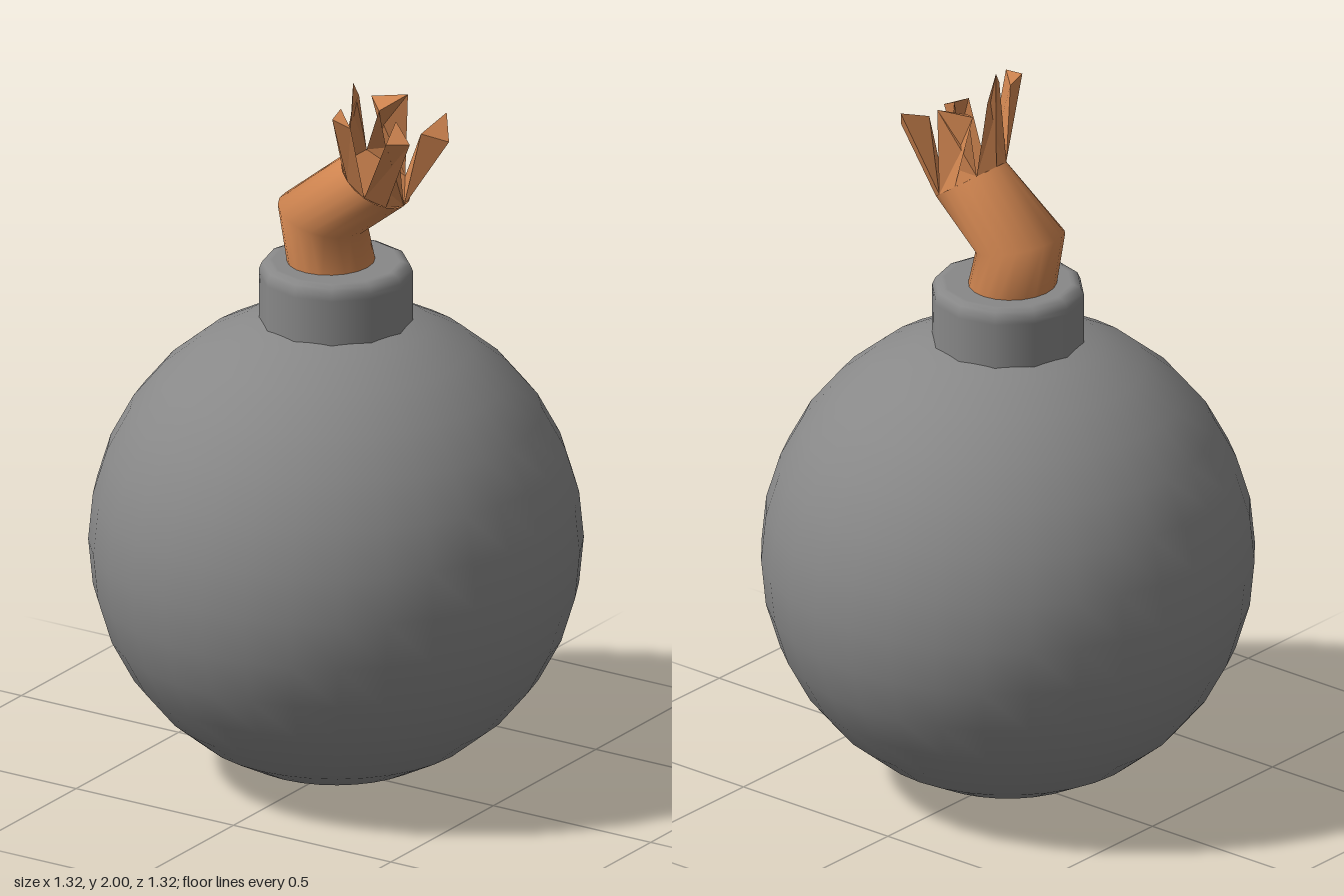
import * as THREE from 'three';

const iron = new THREE.MeshStandardMaterial({ color: 0x888888 });
const rope = new THREE.MeshStandardMaterial({ color: 0xd08550, side: THREE.DoubleSide });
const frayed = new THREE.MeshStandardMaterial({ color: 0xd08550, side: THREE.DoubleSide, flatShading: true });

// Fuse cross-sections: centre, half-width vector in the xy plane, half-depth along z
const RINGS = [
  { c: [-0.005, 1.4], u: [0.118, 0], d: 0.122 },
  { c: [-0.043, 1.575], u: [0.118, -0.035], d: 0.122 },
  { c: [0.128, 1.71], u: [0.0875, -0.06], d: 0.105 },
];

function ringPoint({ c, u, d }, angle) {
  const k = Math.cos(angle);
  return [c[0] + u[0] * k, c[1] + u[1] * k, d * Math.sin(angle)];
}

// Bent tube lofted through the rings, closed at its upper end
function fuseGeometry(sides = 20) {
  const pos = [], index = [];
  RINGS.forEach((ring, r) => {
    for (let j = 0; j < sides; j++) {
      pos.push(...ringPoint(ring, (j / sides) * Math.PI * 2));
      if (r === RINGS.length - 1) continue;
      const a = r * sides + j, b = r * sides + ((j + 1) % sides);
      index.push(a, a + sides, b, b, a + sides, b + sides);
    }
  });
  const g = new THREE.BufferGeometry();
  g.setAttribute('position', new THREE.Float32BufferAttribute(pos, 3));
  g.setIndex(index);
  g.computeVertexNormals();
  return g;
}

// Folded strand: triangular prism from an arc of the last ring to three tip points
function strandGeometry(i, tips) {
  const top = RINGS[RINGS.length - 1];
  const base = [0, 0.5, 1].map((t) => ringPoint(top, ((i + t) / 5) * Math.PI * 2));
  const pos = [];
  for (let k = 0; k < 3; k++) {
    const n = (k + 1) % 3;
    pos.push(...base[k], ...tips[k], ...base[n], ...base[n], ...tips[k], ...tips[n]);
  }
  pos.push(...tips[0], ...tips[2], ...tips[1]);
  const g = new THREE.BufferGeometry();
  g.setAttribute('position', new THREE.Float32BufferAttribute(pos, 3));
  g.computeVertexNormals();
  return g;
}

// Strand tips, in order around the fuse
const STRANDS = [
  [[0.21, 1.9, 0.03], [0.28, 1.86, 0.07], [0.24, 1.87, 0.125]],
  [[0.19, 1.935, 0.22], [0.125, 1.945, 0.21], [0.1, 1.945, 0.13]],
  [[0.13, 1.95, 0.12], [0.1, 2.0, 0.07], [0.08, 1.94, 0.01]],
  [[0.13, 1.9, -0.01], [0.08, 1.92, -0.05], [0.17, 1.93, -0.09]],
  [[0.28, 1.895, -0.11], [0.32, 1.835, -0.06], [0.26, 1.86, -0.015]],
];

export function createModel() {
  const model = new THREE.Group();
  const add = (name, geometry, material, parent = model) => {
    const mesh = new THREE.Mesh(geometry, material);
    mesh.name = name;
    parent.add(mesh);
    return mesh;
  };

  // Round body
  add('body', new THREE.SphereGeometry(0.66, 32, 16), iron).position.y = 0.66;

  // Collar with a softened rim
  const profile = [
    [0.205, 1.24], [0.205, 1.41], [0.205, 1.425], [0.197, 1.443], [0.18, 1.45], [0.17, 1.45], [0, 1.45],
  ].map(([x, y]) => new THREE.Vector2(x, y));
  add('collar', new THREE.LatheGeometry(profile, 12), iron);

  // Bent fuse and its frayed end
  const fuse = new THREE.Group();
  fuse.name = 'fuse';
  model.add(fuse);
  add('fuseStem', fuseGeometry(), rope, fuse);
  const top = RINGS[2];
  const cap = add('fuseCore', new THREE.CircleGeometry(0.104, 20), rope, fuse);
  cap.position.set(top.c[0], top.c[1], 0);
  cap.rotation.set(-Math.PI / 2, Math.atan2(-top.u[1], top.u[0]), 0);
  STRANDS.forEach((tips, i) => add(`fuseStrand${i + 1}`, strandGeometry(i, tips), frayed, fuse));

  return model;
}
